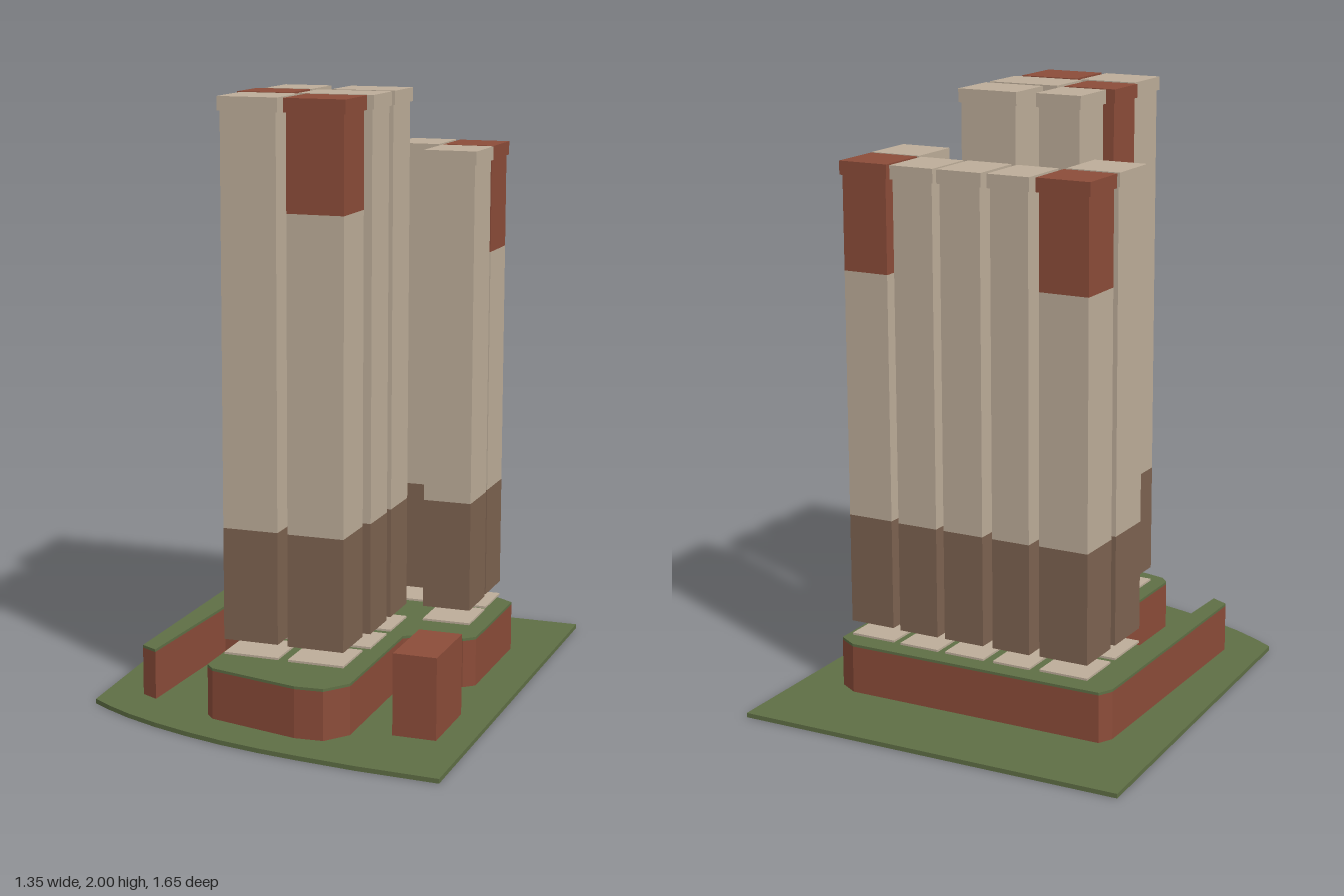
import * as THREE from 'three';

const mat = (name, color) => {
  const m = new THREE.MeshStandardMaterial({ color });
  m.name = name;
  return m;
};

export function createModel() {
  const model = new THREE.Group();
  const grass = mat('grass green', 0x5f6f45);
  const beige = mat('beige', 0xbdad99);
  const brown = mat('brown', 0x7d6350);
  const brick = mat('brick red', 0x8b4c39);

  // Box given by its limits
  function box(parent, name, material, x0, x1, y0, y1, z0, z1) {
    const mesh = new THREE.Mesh(new THREE.BoxGeometry(x1 - x0, y1 - y0, z1 - z0), material);
    mesh.position.set((x0 + x1) / 2, (y0 + y1) / 2, (z0 + z1) / 2);
    mesh.name = name;
    parent.add(mesh);
  }

  // Plan outline in (x, z), raised from y0 to y1
  function slab(name, material, outline, y0, y1) {
    const shape = new THREE.Shape(outline.map(([x, z]) => new THREE.Vector2(x, -z)));
    const geo = new THREE.ExtrudeGeometry(shape, { depth: y1 - y0, bevelEnabled: false });
    geo.rotateX(-Math.PI / 2);
    geo.translate(0, y0, 0);
    const mesh = new THREE.Mesh(geo, material);
    mesh.name = name;
    model.add(mesh);
  }

  // Plot of land with a curved front edge
  slab('ground', grass, [
    [-0.675, -0.82], [0.67, -0.828], [0.673, 0.822], [0.4, 0.81], [0.2, 0.79], [0.07, 0.773],
    [-0.07, 0.747], [-0.2, 0.713], [-0.33, 0.67], [-0.45, 0.62], [-0.54, 0.572], [-0.607, 0.53],
  ], 0, 0.015);

  // Podium with a planted roof
  const podium = [
    [-0.48, -0.46], [-0.455, -0.508], [0.46, -0.51], [0.525, -0.47], [0.525, -0.04], [0.49, -0.007],
    [0.345, 0], [0.293, 0.037], [0.295, 0.56], [0.235, 0.64], [0.14, 0.647], [-0.17, 0.572],
    [-0.2, 0.54], [-0.2, -0.06], [-0.4, -0.075], [-0.422, 0.46], [-0.48, 0.43],
  ];
  slab('podium', brick, podium, 0.015, 0.176);
  slab('podiumRoof', grass, podium, 0.176, 0.185);

  // Small building beside the podium
  box(model, 'annex', brick, 0.42, 0.565, 0.015, 0.285, 0.25, 0.515);

  // Towers: roof limits x0, x1, z0, z1, height, red top
  const towers = [
    [-0.405, -0.22, -0.485, -0.303, 1.8, true],
    [-0.2, -0.053, -0.491, -0.297, 1.8, false],
    [-0.031, 0.126, -0.491, -0.292, 1.8, false],
    [0.14, 0.296, -0.491, -0.297, 1.8, false],
    [0.312, 0.486, -0.485, -0.297, 1.8, true],
    [0.312, 0.49, -0.285, -0.09, 1.8, false],
    [-0.405, -0.22, -0.285, -0.09, 1.8, false],
    [-0.175, -0.014, -0.1, 0.08, 2, false],
    [0.051, 0.265, -0.111, 0.071, 2, false],
    [-0.198, -0.014, 0.098, 0.265, 2, true],
    [0.013, 0.265, 0.098, 0.273, 2, false],
    [-0.175, 0.025, 0.29, 0.483, 2, false],
    [0.047, 0.25, 0.294, 0.488, 2, true],
  ];
  const inset = 0.007;
  for (const [x0, x1, z0, z1, top, red] of towers) {
    const tower = new THREE.Group();
    tower.name = 'tower';
    const part = (name, material, y0, y1, d = inset) =>
      box(tower, name, material, x0 + d, x1 - d, y0, y1, z0 + d, z1 - d);
    const capBase = top - 0.045;
    const split = red ? top - 0.355 : capBase;
    part('floorSlab', beige, 0.204, 0.211);
    part('lowerStoreys', brown, 0.255, 0.625);
    part('upperStoreys', beige, 0.625, split);
    if (red) part('topStoreys', brick, split, capBase);
    part('roofCap', red ? brick : beige, capBase, top, 0);
    model.add(tower);
  }
  return model;
}
